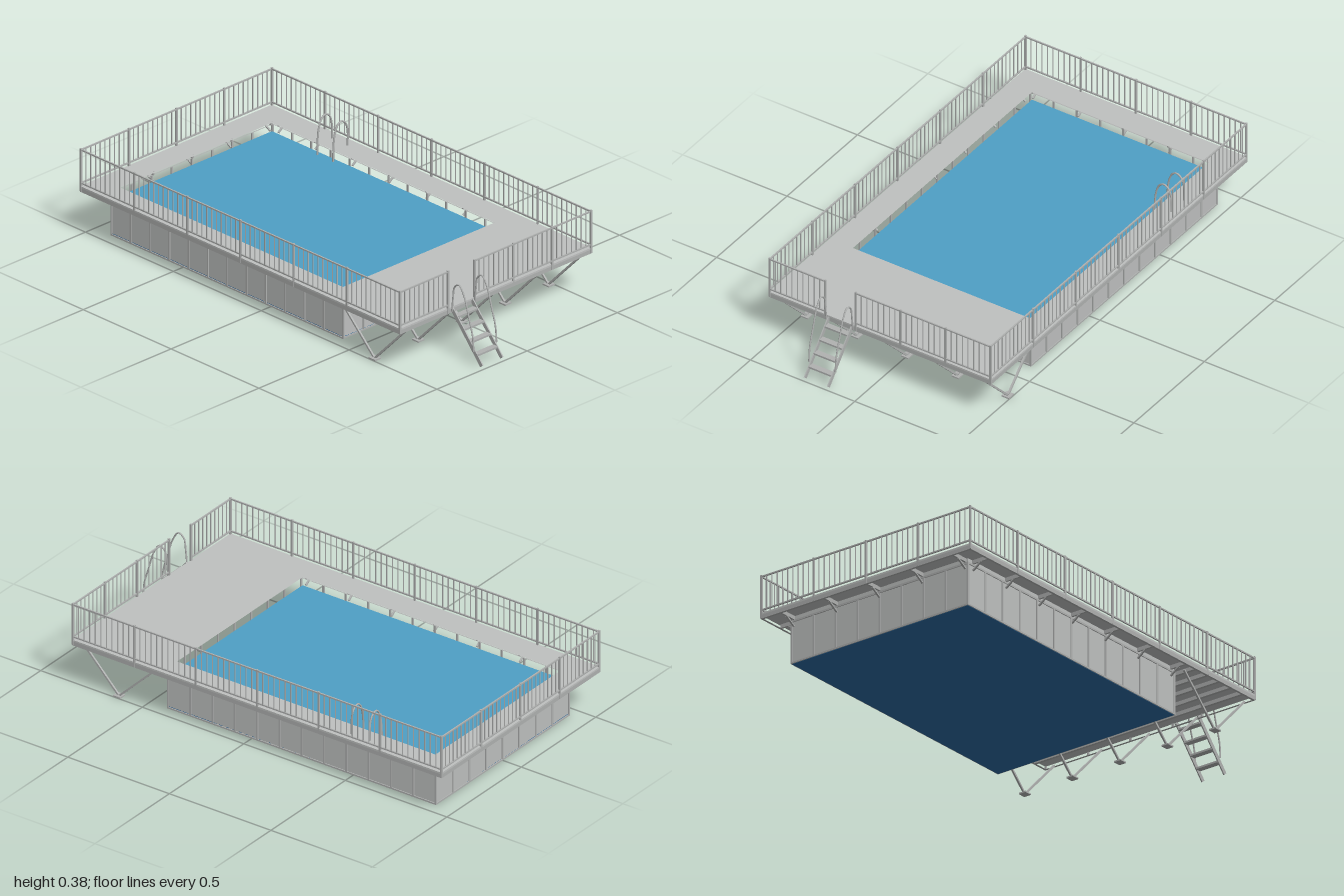
import * as THREE from 'three';

const mat = (name, color) => {
  const m = new THREE.MeshStandardMaterial({ color });
  m.name = name;
  return m;
};

export function createModel() {
  const root = new THREE.Group();
  root.name = 'raisedPool';
  const deckGrey = mat('deckGrey', 0xbfc1c0);
  const metal = mat('galvanisedSteel', 0xb0b2b1);
  const waterBlue = mat('waterBlue', 0x4f9fc5);
  const linerBlue = mat('linerBlue', 0x2a68a0);

  const group = (name, parent = root) => {
    const g = new THREE.Group();
    g.name = name;
    parent.add(g);
    return g;
  };
  const add = (parent, name, geo, m) => {
    const mesh = new THREE.Mesh(geo, m);
    mesh.name = name;
    parent.add(mesh);
    return mesh;
  };
  // Box given by its limits on each axis
  const box = (parent, name, x0, x1, y0, y1, z0, z1, m = metal) =>
    add(parent, name, new THREE.BoxGeometry(x1 - x0, y1 - y0, z1 - z0), m)
      .position.set((x0 + x1) / 2, (y0 + y1) / 2, (z0 + z1) / 2);
  // Square bar between two points
  const bar = (parent, name, a, b, w, d = w, m = metal) => {
    const p = new THREE.Vector3(...a), q = new THREE.Vector3(...b);
    const dir = q.clone().sub(p);
    const mesh = add(parent, name, new THREE.BoxGeometry(w, dir.length(), d), m);
    mesh.position.copy(p).add(q).multiplyScalar(0.5);
    mesh.quaternion.setFromUnitVectors(new THREE.Vector3(0, 1, 0), dir.normalize());
  };
  const tube = (parent, name, pts, r) => add(parent, name, new THREE.TubeGeometry(
    new THREE.CatmullRomCurve3(pts.map(p => new THREE.Vector3(...p))), 32, r, 8), metal);
  // Flat rectangular ring; limits are [x0, x1, z0, z1]
  const ring = (parent, name, outer, inner, y0, y1, m) => {
    const rect = (Type, [x0, x1, z0, z1]) => new Type([[x0, -z0], [x1, -z0], [x1, -z1], [x0, -z1]]
      .map(p => new THREE.Vector2(...p)));
    const shape = rect(THREE.Shape, outer);
    shape.holes.push(rect(THREE.Path, inner));
    const geo = new THREE.ExtrudeGeometry(shape, { depth: y1 - y0, bevelEnabled: false });
    add(parent, name, geo.rotateX(-Math.PI / 2), m).position.y = y0;
  };

  // Pool basin
  const basin = group('basin');
  const opening = [-0.427, 0.427, -0.89, 0.39];
  ring(basin, 'basinWalls', [-0.446, 0.446, -0.906, 0.411], opening, 0.003, 0.207, deckGrey);
  box(basin, 'basinFloor', -0.446, 0.446, 0, 0.01, -0.906, 0.411, linerBlue);
  box(basin, 'water', -0.428, 0.428, 0.162, 0.17, -0.891, 0.391, waterBlue);
  ring(basin, 'bottomFrame', [-0.45, 0.45, -0.91, 0.415], [-0.444, 0.444, -0.904, 0.409], 0.001, 0.008, metal);
  ring(basin, 'topFrame', [-0.45, 0.45, -0.91, 0.415], [-0.444, 0.444, -0.904, 0.409], 0.182, 0.19, metal);

  // Upright ribs dividing the walls into panels
  for (let i = 0; i <= 8; i++) {
    const x = -0.446 + i * 0.1115;
    for (const z of [-0.91, 0.409]) box(basin, 'wallRib', x - 0.004, x + 0.004, 0.002, 0.19, z, z + 0.006);
  }
  for (let i = 0; i <= 12; i++) {
    const z = -0.906 + i * 0.1098;
    for (const x of [-0.45, 0.444]) box(basin, 'wallRib', x, x + 0.006, 0.002, 0.19, z - 0.004, z + 0.004);
  }

  // Deck plate, edge frame and joists
  const deck = group('deck');
  const X = 0.532, Z0 = -0.998, Z1 = 0.822;
  ring(deck, 'deckTop', [-X, X, Z0, Z1], opening, 0.207, 0.215, deckGrey);
  ring(deck, 'deckEdge', [-X, X, Z0, Z1], [-X + 0.01, X - 0.01, Z0 + 0.01, Z1 - 0.01], 0.19, 0.208, metal);
  for (let i = 0; i < 5; i++) {
    const z = 0.45 + i * 0.075;
    box(deck, 'joist', -X + 0.005, X - 0.005, 0.191, 0.208, z - 0.006, z + 0.006);
  }

  // Brackets carrying the walkways
  const brackets = group('brackets');
  for (let i = 0; i < 7; i++) {
    const z = 0.388 - i * 0.2104;
    for (const s of [-1, 1]) {
      bar(brackets, 'bracket', [s * 0.447, 0.163, z], [s * 0.487, 0.192, z], 0.006, 0.008);
      box(brackets, 'bracketArm', Math.min(s * 0.445, s * 0.525), Math.max(s * 0.445, s * 0.525),
        0.191, 0.208, z - 0.004, z + 0.004);
    }
  }
  for (let i = 0; i < 5; i++) {
    const x = (i - 2) * 0.2175;
    bar(brackets, 'bracket', [x, 0.163, -0.907], [x, 0.192, -0.955], 0.008, 0.006);
    box(brackets, 'bracketArm', x - 0.004, x + 0.004, 0.191, 0.208, -0.99, -0.9);
  }

  // V-shaped supports under the wide end
  for (let i = 0; i < 5; i++) {
    const x = (i - 2) * 0.241;
    const support = group('deckSupport');
    box(support, 'foot', x - 0.017, x + 0.017, 0, 0.006, 0.61, 0.646);
    bar(support, 'outerStrut', [x, 0.005, 0.63], [x, 0.195, 0.815], 0.008);
    bar(support, 'innerStrut', [x, 0.005, 0.624], [x, 0.195, 0.43], 0.008);
  }

  // Railing: bays of posts, rails and balusters between two floor points
  const railing = group('railing');
  const fence = (x0, z0, x1, z1, bays, perBay) => {
    const n = bays * perBay;
    for (let i = 0; i <= n; i++) {
      const x = x0 + (x1 - x0) * i / n, z = z0 + (z1 - z0) * i / n;
      if (i % perBay === 0) box(railing, 'post', x - 0.004, x + 0.004, 0.192, 0.381, z - 0.004, z + 0.004);
      else box(railing, 'baluster', x - 0.0018, x + 0.0018, 0.229, 0.374, z - 0.0018, z + 0.0018);
    }
    for (const y of [0.229, 0.375]) bar(railing, 'rail', [x0, y, z0], [x1, y, z1], 0.006);
  };
  const fx = 0.529, fb = -0.995, ff = 0.82;
  for (const s of [-1, 1]) fence(s * fx, fb, s * fx, ff, 6, 11);
  fence(-fx, fb, fx, fb, 4, 10);
  fence(-fx, ff, -0.263, ff, 1, 10);
  fence(-0.117, ff, fx, ff, 3, 8);

  // Entrance stairs with curved handrails
  const stairs = group('entranceStairs');
  for (const x of [-0.243, -0.132]) bar(stairs, 'stringer', [x, 0.012, 0.992], [x, 0.208, 0.822], 0.005, 0.018);
  for (let i = 0; i < 4; i++) {
    const y = 0.052 + i * 0.043, z = 0.958 - i * 0.038;
    box(stairs, 'tread', -0.242, -0.133, y - 0.004, y + 0.004, z - 0.013, z + 0.013);
  }
  for (const x of [-0.251, -0.124]) tube(stairs, 'handrail', [
    [x, 0.065, 0.953], [x, 0.13, 0.948], [x, 0.21, 0.925], [x, 0.29, 0.9],
    [x, 0.33, 0.872], [x, 0.315, 0.846], [x, 0.26, 0.836], [x, 0.2, 0.83]], 0.0035);

  // Pool ladder arches
  const ladder = group('poolLadder');
  for (const z of [-0.613, -0.523]) tube(ladder, 'ladderRail', [
    [0.409, 0.165, z], [0.41, 0.23, z], [0.417, 0.285, z], [0.433, 0.322, z], [0.453, 0.333, z],
    [0.476, 0.319, z], [0.488, 0.285, z], [0.489, 0.213, z]], 0.004);

  return root;
}
